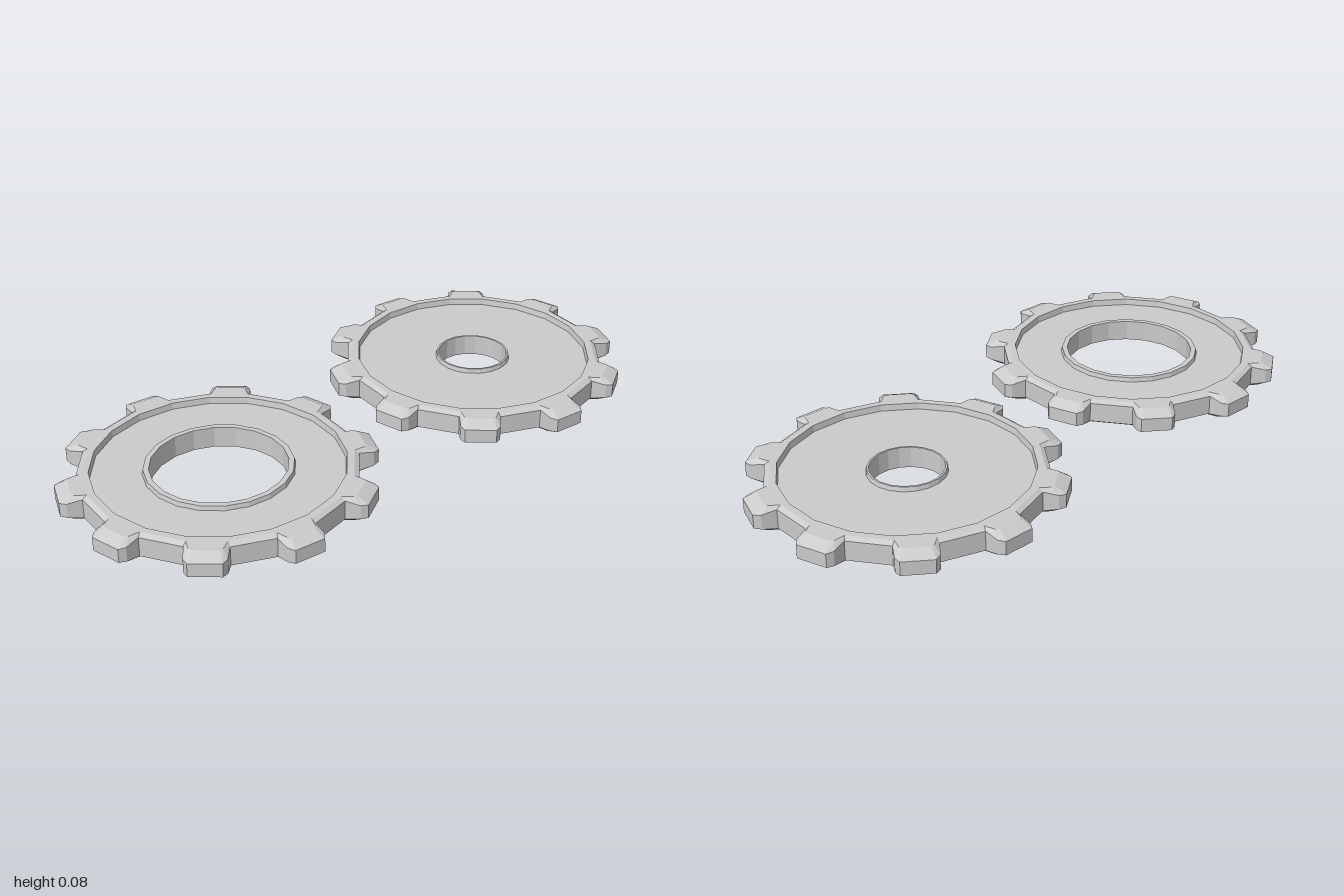
import * as THREE from 'three';

const TEETH = 10, SIDES = 20, HEIGHT = 0.08;
const rad = THREE.MathUtils.degToRad;

// Outline corners of one tooth: [angle, radius, edge height] of the outer wall,
// then [angle, radius] of the flat top inside the bevel.
const half = [
  [8.8, 0.417, 0.071, 8.2, 0.403],
  [7.6, 0.462, 0.063, 6.2, 0.436],
  [5.8, 0.48, 0.062, 4.9, 0.442],
];
const tooth = [...half.map(([a, r, y, b, s]) => [-a, r, y, -b, s]), ...[...half].reverse()];

// Toothed outer rim, lofted around the gear from cross-sections
function toothedRim() {
  const positions = [], index = [], rows = 6, count = TEETH * tooth.length;
  for (let t = 0; t < TEETH; t++) {
    for (const [a, r, y, b, s] of tooth) {
      const base = 9 + t * 360 / TEETH;
      const section = [
        [b, 0.393, 0], [b, s, 0], [a, r, HEIGHT - y],
        [a, r, y], [b, s, HEIGHT], [b, 0.393, HEIGHT],
      ];
      for (const [deg, radius, h] of section) {
        const ang = rad(base + deg);
        positions.push(Math.sin(ang) * radius, h, -Math.cos(ang) * radius);
      }
    }
  }
  for (let i = 0; i < count; i++) {
    for (let j = 0; j < rows - 1; j++) {
      const p = i * rows + j, q = ((i + 1) % count) * rows + j;
      index.push(p, p + 1, q, q, p + 1, q + 1);
    }
  }
  const g = new THREE.BufferGeometry();
  g.setAttribute('position', new THREE.Float32BufferAttribute(positions, 3));
  g.setIndex(index);
  g.computeVertexNormals();
  return g;
}

// Recessed disc with raised hub lip, the same above and below
function discBody(hole, lip) {
  const top = [
    [0.4, HEIGHT], [0.38, HEIGHT], [0.377, 0.06],
    [lip, 0.06], [lip - 0.003, 0.074], [hole, 0.074],
  ];
  const bottom = [...top].reverse().map(([r, y]) => [r, HEIGHT - y]);
  const profile = [...top, ...bottom].map(([r, y]) => new THREE.Vector2(r, y));
  return new THREE.LatheGeometry(profile, SIDES);
}

function makeGear(name, hole, lip, x, z, material) {
  const gear = new THREE.Group();
  gear.name = name;
  const disc = new THREE.Mesh(discBody(hole, lip), material);
  disc.name = 'disc';
  const rim = new THREE.Mesh(toothedRim(), material);
  rim.name = 'toothedRim';
  gear.add(disc, rim);
  gear.position.set(x, 0, z);
  return gear;
}

export function createModel() {
  const model = new THREE.Group();
  model.name = 'gearPair';
  const material = new THREE.MeshStandardMaterial({ color: 0xcccccc, flatShading: true });
  model.add(
    makeGear('wideHoleGear', 0.206, 0.226, -0.521, -0.034, material),
    makeGear('smallHoleGear', 0.112, 0.121, 0.521, 0.03, material),
  );
  return model;
}
